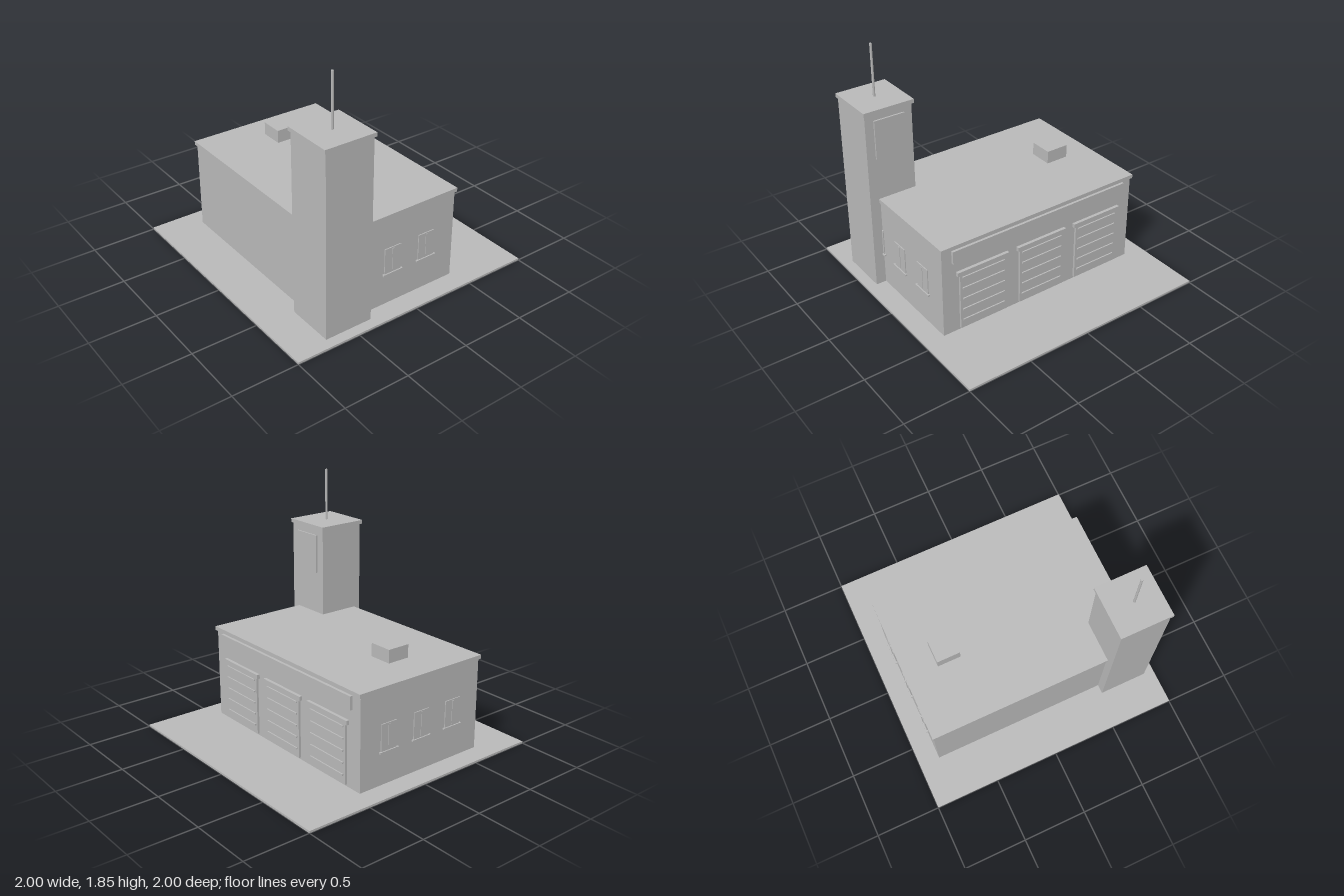
import * as THREE from 'three';

export function createModel() {
  const model = new THREE.Group();
  const grey = new THREE.MeshStandardMaterial({ color: 0xb8b8b8 });
  grey.name = 'light grey';

  // Box given by its limits on each axis
  function box(name, [x0, x1], [y0, y1], [z0, z1], parent = model) {
    const mesh = new THREE.Mesh(new THREE.BoxGeometry(x1 - x0, y1 - y0, z1 - z0), grey);
    mesh.position.set((x0 + x1) / 2, (y0 + y1) / 2, (z0 + z1) / 2);
    mesh.name = name;
    parent.add(mesh);
    return mesh;
  }
  const around = (c, w) => [c - w / 2, c + w / 2];

  // Ground slab and main hall
  box('groundSlab', [-1, 1], [0, 0.015], [-1, 1]);
  box('hallWalls', [-0.84, 0.84], [0.015, 0.71], [-0.45, 0.65]);
  box('hallRoof', [-0.85, 0.85], [0.71, 0.74], [-0.465, 0.665]);
  box('roofVent', [-0.6, -0.42], [0.76, 0.86], [0.01, 0.19]);

  // Corner tower with cap, rear panel and mast
  box('towerWalls', [0.545, 0.92], [0.015, 1.42], [0.345, 0.72]);
  box('towerCap', [0.53, 0.93], [1.42, 1.45], [0.332, 0.733]);
  box('towerPanel', around(0.732, 0.24), [1.07, 1.37], [0.332, 0.346]);
  const mast = new THREE.Mesh(new THREE.CylinderGeometry(0.009, 0.009, 0.4, 12), grey);
  mast.position.set(0.732, 1.65, 0.532);
  mast.name = 'mast';
  model.add(mast);

  // Rear fascia board and three garage doors with ribs
  box('fasciaBoard', around(0, 1.52), [0.6, 0.7], [-0.472, -0.449]);
  for (const x of [-0.51, 0, 0.51]) {
    const door = new THREE.Group();
    door.name = 'garageDoor';
    box('doorPanel', around(x, 0.39), [0.03, 0.48], [-0.467, -0.449], door);
    box('doorLintel', around(x, 0.43), [0.48, 0.513], [-0.474, -0.449], door);
    for (let i = 0; i < 5; i++) {
      box('doorRib', around(x, 0.355), around(0.1 + i * 0.09, 0.012), [-0.477, -0.466], door);
    }
    model.add(door);
  }

  // Three windows on each side wall
  for (const side of [-1, 1]) {
    const out = (d) => (side < 0 ? [-0.84 - d, -0.839] : [0.839, 0.84 + d]);
    for (const z of [-0.2, 0.1, 0.4]) {
      const win = new THREE.Group();
      win.name = 'sideWindow';
      box('windowPane', out(0.007), [0.268, 0.47], around(z, 0.14), win);
      box('windowMullion', out(0.011), [0.28, 0.46], around(z, 0.014), win);
      box('windowSill', out(0.016), [0.257, 0.269], around(z, 0.17), win);
      model.add(win);
    }
  }
  return model;
}
